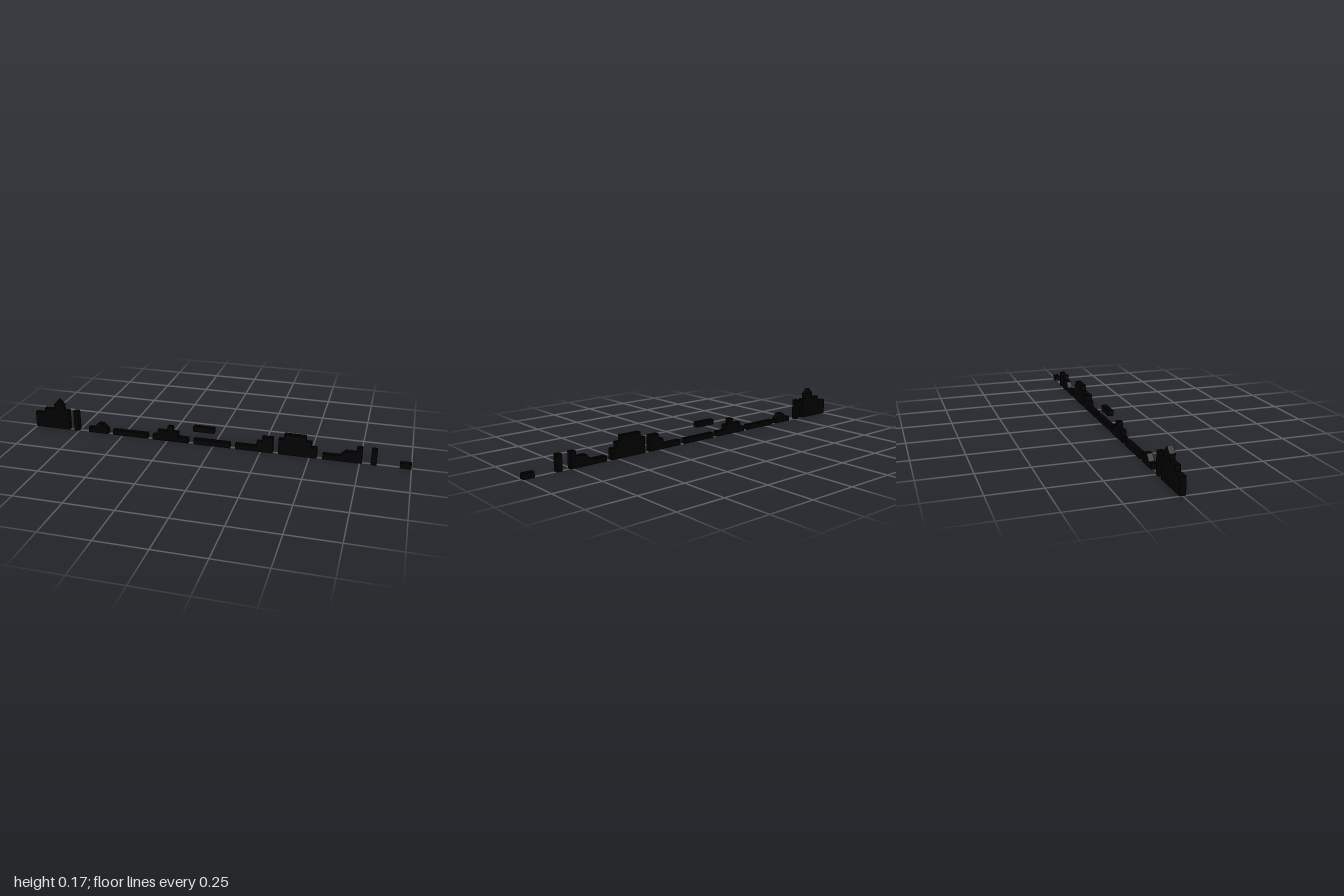
import * as THREE from 'three';

const T = 0.0279; // tile size; also the depth of every block
const material = new THREE.MeshStandardMaterial({ color: 0x000000, flatShading: true });

// Each outline is in tile units, relative to x0: [column, height] points of its upper edge.
// The lower edge runs straight along the base, in world units.
const PIECES = [
  { name: 'tower', x: -1, top: [[0, 3], [2, 3], [2, 4], [4, 4], [4, 5], [5, 6], [6, 5], [6, 4], [7, 4], [7, 0]] },
  { name: 'tallPost', x: -0.777, top: [[0, 4], [1, 4], [1, 0]] },
  { name: 'smallMound', x: -0.693, top: [[0, 1], [1, 1], [2, 2], [3, 2], [4, 1], [4, 0]] },
  { name: 'flatGround', x: -0.554, top: [[0, 1], [7, 1], [7, 0]] },
  { name: 'steppedMound', x: -0.33, top: [[0, 1], [1, 1], [1, 2], [3, 2], [3, 3], [4, 3], [4, 2], [5, 2], [5, 1], [7, 1], [7, 0]] },
  { name: 'bridgeGround', x: -0.106, top: [[0, 1], [7, 1], [7, 0]] },
  { name: 'floatingPlatform', x: -0.106, base: 0.072, top: [[0, 1], [4, 1], [4, 0]] },
  { name: 'stairs', x: 0.117, top: [[0, 1], [4, 1], [4, 2], [5, 2], [5, 3], [7, 3], [7, 0]] },
  { name: 'steppedHill', x: 0.341, top: [[0, 3], [1, 3], [1, 4], [5, 4], [5, 3], [6, 3], [6, 2], [7, 2], [7, 0]] },
  { name: 'ramp', x: 0.565, top: [[0, 1], [3, 1], [4, 2], [6, 2], [6, 3], [7, 3], [7, 0]] },
  { name: 'shortPost', x: 0.804, top: [[0, 3], [1, 3], [1, 0]] },
  { name: 'endLedge', x: 0.944, top: [[0, 1], [2, 1], [2, 0]] },
];

// Extrudes one silhouette by a single tile, centred on z = 0
function makePiece({ name, x, base = 0, top }) {
  const points = [[0, 0], ...top].map(([c, h]) => new THREE.Vector2(x + c * T, base + h * T));
  const geometry = new THREE.ExtrudeGeometry(new THREE.Shape(points), { depth: T, bevelEnabled: false });
  geometry.translate(0, 0, -T / 2);
  const mesh = new THREE.Mesh(geometry, material);
  mesh.name = name;
  return mesh;
}

export function createModel() {
  const group = new THREE.Group();
  group.name = 'platformCourse';
  for (const piece of PIECES) group.add(makePiece(piece));
  return group;
}
